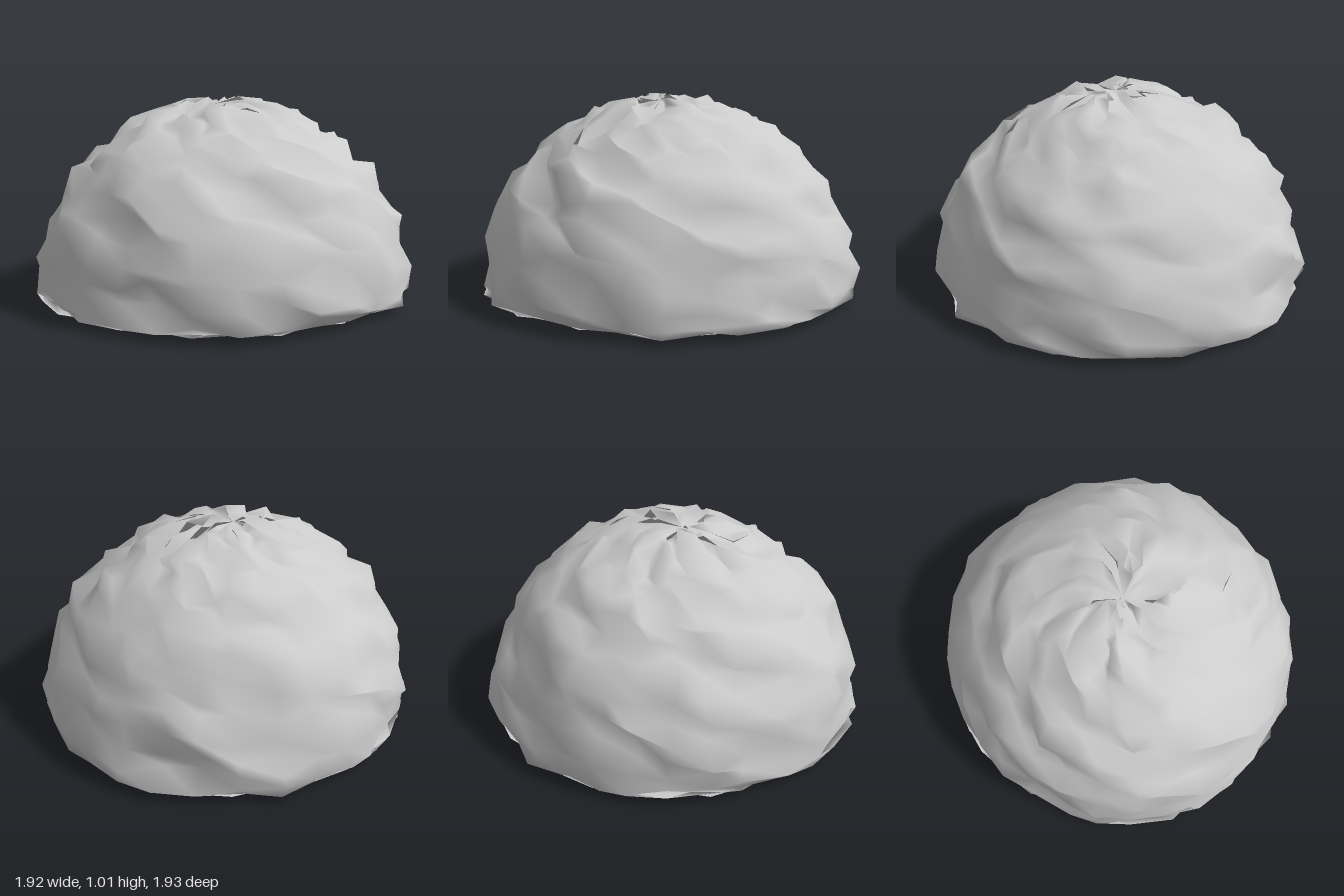
import * as THREE from 'three';
import { mergeVertices } from 'three/addons/utils/BufferGeometryUtils.js';

// Base radius every 30 degrees around the mound, from +x towards +z
const OUTLINE = [0.96, 0.965, 0.95, 0.935, 0.94, 0.94, 0.955, 0.93, 0.925, 0.945, 0.97, 0.97];
const RIM_HEIGHT = 0.065;
const DOME_HEIGHT = 0.93;
const BASE_DEPTH = 0.045;
const ROUGHNESS = 0.04;

// Small seeded generator giving values in [-1, 1]
function seeded(seed) {
  let s = seed;
  return () => {
    s = (s + 0x6d2b79f5) | 0;
    let t = Math.imul(s ^ (s >>> 15), 1 | s);
    t = (t + Math.imul(t ^ (t >>> 7), 61 | t)) ^ t;
    return ((t ^ (t >>> 14)) >>> 0) / 2147483648 - 1;
  };
}

// Outline radius in the direction (x, z)
function outlineRadius(x, z) {
  const turn = ((Math.atan2(z, x) / (2 * Math.PI) + 1) % 1) * OUTLINE.length;
  const i = Math.floor(turn) % OUTLINE.length;
  return THREE.MathUtils.lerp(OUTLINE[i], OUTLINE[(i + 1) % OUTLINE.length], turn % 1);
}

// Rough dome whose lower half is pressed into a shallow, nearly flat underside
function moundGeometry() {
  const sphere = new THREE.SphereGeometry(1, 32, 32);
  sphere.deleteAttribute('uv');
  sphere.deleteAttribute('normal');
  const geometry = mergeVertices(sphere, 1e-4);
  const pos = geometry.attributes.position;
  const rand = seeded(77);

  for (let i = 0; i < pos.count; i++) {
    const x = pos.getX(i);
    const y = pos.getY(i);
    const z = pos.getZ(i);
    const radius = outlineRadius(x, z);
    const lift = y < -0.01
      ? y * BASE_DEPTH + rand() * 0.006
      : Math.max(y * DOME_HEIGHT + rand() * ROUGHNESS, -0.01);
    pos.setXYZ(
      i,
      x * radius + rand() * ROUGHNESS,
      RIM_HEIGHT + lift,
      z * radius + rand() * ROUGHNESS
    );
  }
  geometry.computeVertexNormals();
  return geometry;
}

export function createModel() {
  const group = new THREE.Group();
  group.name = 'rock';

  const mound = new THREE.Mesh(
    moundGeometry(),
    new THREE.MeshStandardMaterial({ color: 0xcccccc, side: THREE.DoubleSide })
  );
  mound.name = 'mound';
  group.add(mound);
  return group;
}
